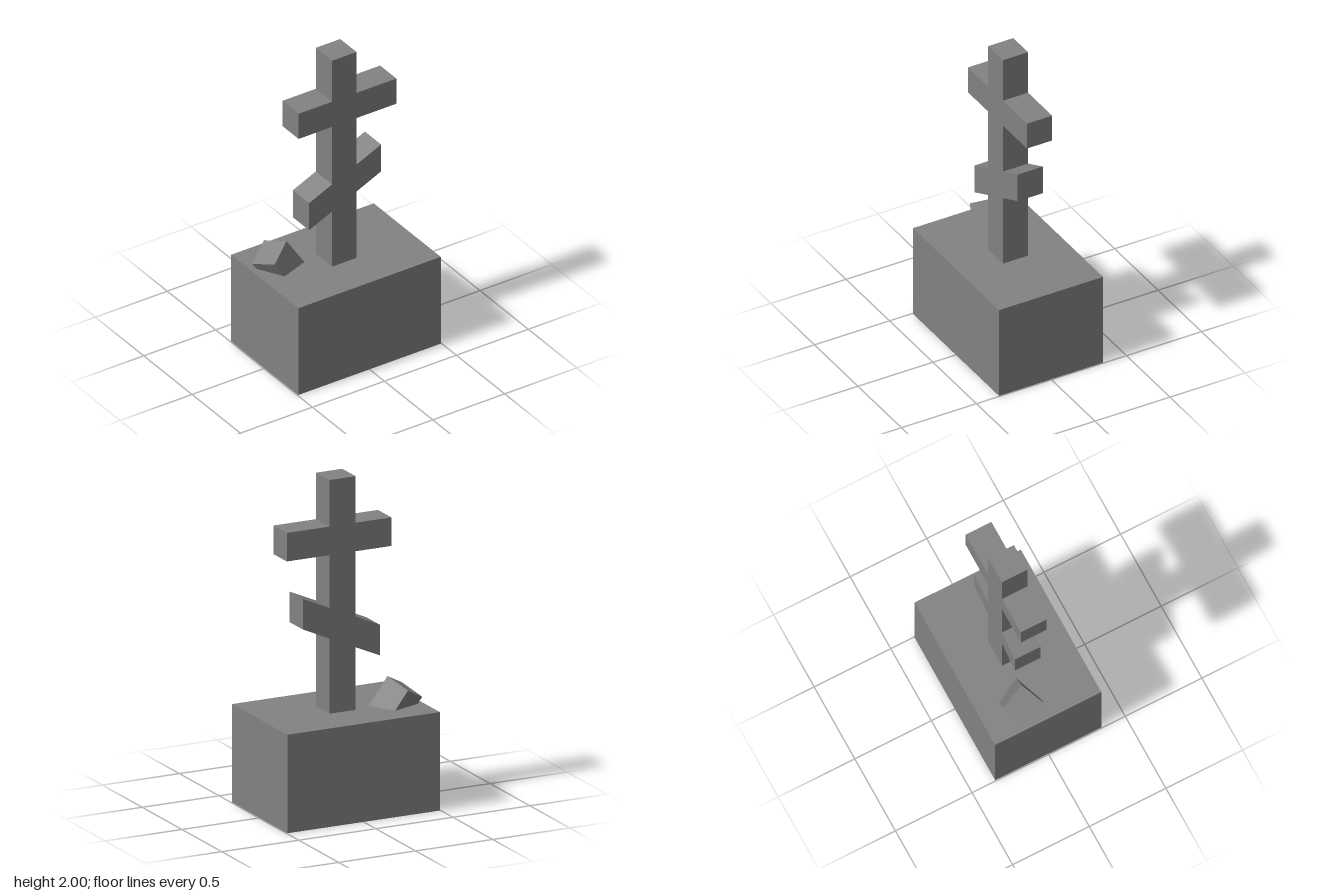
import * as THREE from 'three';

const material = new THREE.MeshStandardMaterial({ color: 0x828282, flatShading: true });

function addPart(group, name, geometry) {
  const mesh = new THREE.Mesh(geometry, material);
  mesh.name = name;
  group.add(mesh);
  return mesh;
}

export function createModel() {
  const model = new THREE.Group();
  model.name = 'graveMarker';

  // Plinth block
  const baseTop = 0.593;
  addPart(model, 'base', new THREE.BoxGeometry(0.99, baseTop, 0.693)).position.y = baseTop / 2;

  // Cross cut from one outline: post, level upper bar and slanted lower bar
  const half = 0.084, left = -0.084, right = 0.086;
  const outline = [
    [left, baseTop - 0.02], [right, baseTop - 0.02],
    [right, 1.046], [0.257, 1.123], [0.257, 1.307], [right, 1.23],
    [right, 1.548], [0.363, 1.548], [0.363, 1.72], [right, 1.72],
    [right, 2], [left, 2],
    [left, 1.72], [-0.316, 1.72], [-0.316, 1.548], [left, 1.548],
    [left, 1.155], [-0.243, 1.083], [-0.243, 0.898], [left, 0.97],
  ].map(([x, y]) => new THREE.Vector2(x, y));
  const cross = new THREE.ExtrudeGeometry(new THREE.Shape(outline), { depth: 2 * half, bevelEnabled: false });
  cross.translate(0, 0, -half);
  addPart(model, 'cross', cross);

  // Tilted stone block sunk into the plinth, placed by its lowest top corner and edge directions
  const side = 0.17, length = 0.3;
  const u = new THREE.Vector3(0.132, 0.075, -0.075).normalize();
  const w = new THREE.Vector3().crossVectors(u, new THREE.Vector3(0.055, 0.055, 0.15)).normalize();
  const v = new THREE.Vector3().crossVectors(w, u);
  const stone = addPart(model, 'stone', new THREE.BoxGeometry(side, side, length));
  stone.quaternion.setFromRotationMatrix(new THREE.Matrix4().makeBasis(u, v, w));
  stone.position.set(-0.485, 0.633, -0.145)
    .addScaledVector(u, side / 2)
    .addScaledVector(v, side / 2)
    .addScaledVector(w, length / 2);

  return model;
}
